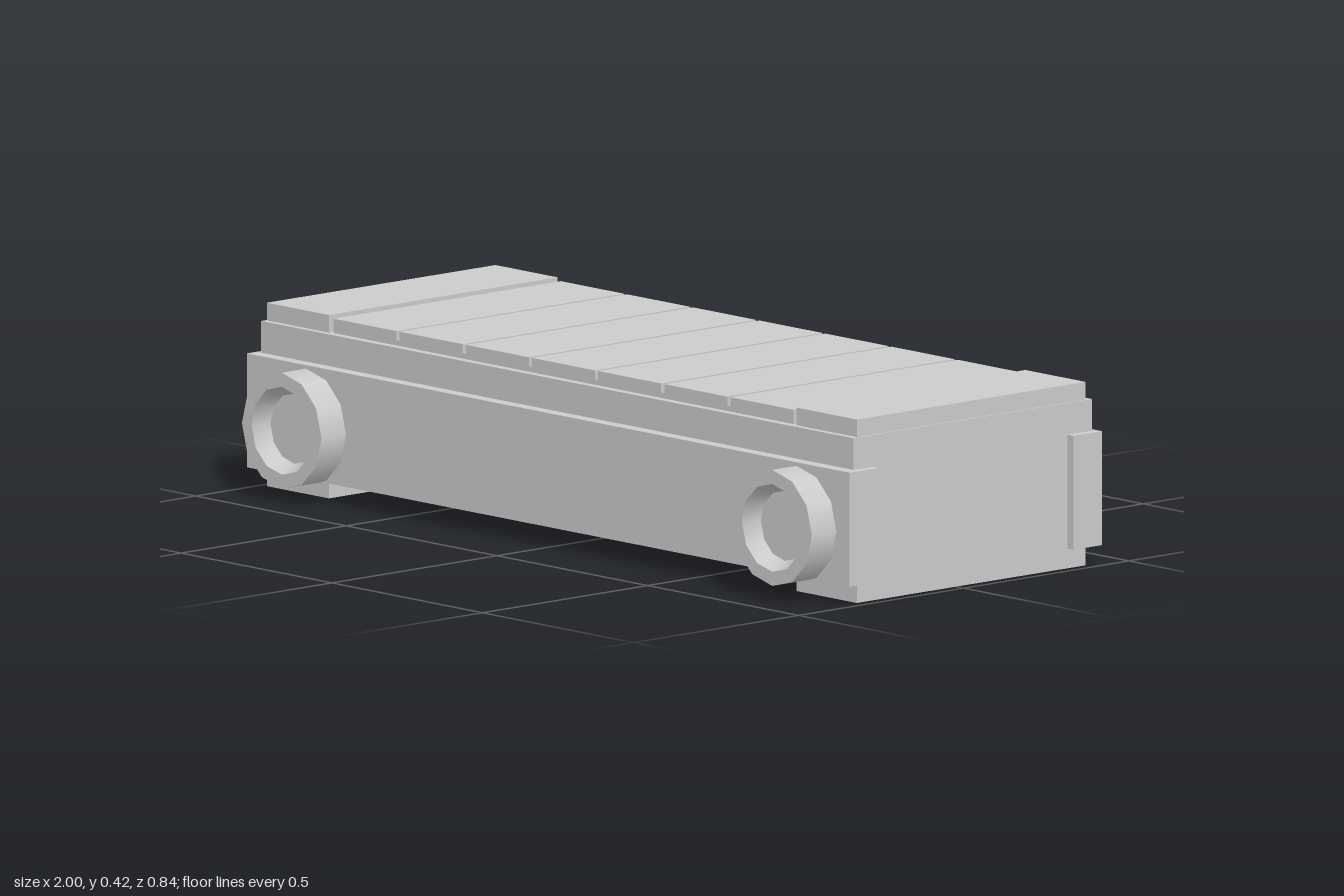
import * as THREE from 'three';
import { toCreasedNormals } from 'three/addons/utils/BufferGeometryUtils.js';

export function createModel() {
  const model = new THREE.Group();
  model.name = 'slattedUnit';
  const material = new THREE.MeshStandardMaterial({ color: 0xcccccc });

  const add = (name, geometry) => {
    const mesh = new THREE.Mesh(geometry, material);
    mesh.name = name;
    model.add(mesh);
    return mesh;
  };
  // Box given by its limits on each axis
  const box = (name, x0, x1, y0, y1, z0, z1) =>
    add(name, new THREE.BoxGeometry(x1 - x0, y1 - y0, z1 - z0))
      .position.set((x0 + x1) / 2, (y0 + y1) / 2, (z0 + z1) / 2);

  // Hollow body, open below
  const rect = (target, x0, x1, y0, y1) => {
    target.moveTo(x0, y0);
    target.lineTo(x1, y0);
    target.lineTo(x1, y1);
    target.lineTo(x0, y1);
    target.closePath();
    return target;
  };
  const outline = rect(new THREE.Shape(), -0.985, 0.98, -0.315, 0.407);
  outline.holes.push(rect(new THREE.Path(), -0.935, 0.93, -0.265, 0.357));
  const body = add('bodyFrame', new THREE.ExtrudeGeometry(outline, { depth: 0.335, bevelEnabled: false }));
  body.rotation.x = -Math.PI / 2;
  body.position.y = 0.042;

  // Deck closing the body, with a raised base between the slats
  box('deck', -0.94, 0.935, 0.355, 0.376, -0.36, 0.27);
  box('slatBase', -0.764, 0.76, 0.37, 0.39, -0.39, 0.296);

  // Long side panels that project past the ends
  box('frontPanel', -1, 1, 0.046, 0.305, 0.258, 0.345);
  box('backPanel', -1, 1, 0.046, 0.305, -0.419, -0.332);

  // Plates at both ends, above and below the body
  for (const [x0, x1] of [[-0.983, -0.777], [0.775, 0.975]]) {
    box('topEndPlate', x0, x1, 0.375, 0.417, -0.392, 0.3);
    box('footPlate', x0, x1, 0, 0.044, -0.392, 0.3);
  }

  // Row of slats, showing again on the underside of the deck
  for (let i = 0; i < 7; i++) {
    const x = -0.765 + i * 0.2195;
    box('slat', x, x + 0.209, 0.385, 0.41, -0.391, 0.297);
    box('underSlat', x, x + 0.209, 0.2, 0.36, -0.345, 0.262);
  }

  // Rollers across the body, with a tapered recess in the front end
  const profile = [[0, -0.36], [0.132, -0.36], [0.132, 0.419], [0.1, 0.419], [0.08, 0.38], [0, 0.38]]
    .map(([r, z]) => new THREE.Vector2(r, z));
  const rollerGeometry = toCreasedNormals(new THREE.LatheGeometry(profile, 12), 0.6);
  for (const x of [-0.803, 0.824]) {
    const roller = add('roller', rollerGeometry);
    roller.rotation.x = Math.PI / 2;
    roller.position.set(x, 0.165, 0);
  }
  return model;
}
